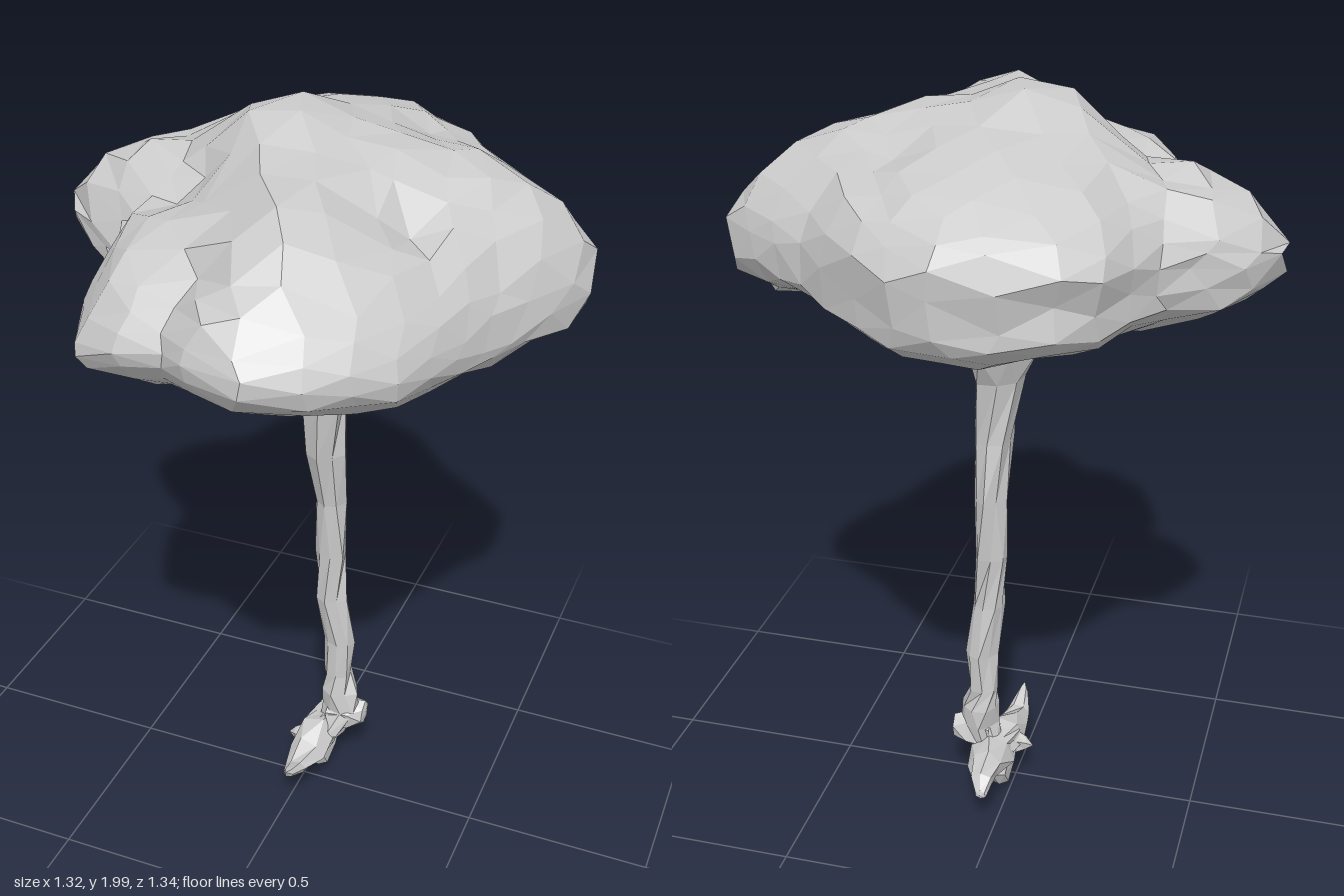
import * as THREE from 'three';

const material = new THREE.MeshStandardMaterial({ color: 0xcccccc, flatShading: true, side: THREE.DoubleSide });

// Widest outline of the crown: [x, rim height, z]
const outline = [
  [-0.04, 1.67, -0.69], [0.1, 1.67, -0.66], [0.26, 1.64, -0.56], [0.39, 1.62, -0.42], [0.5, 1.6, -0.35],
  [0.59, 1.59, -0.29], [0.67, 1.58, -0.22], [0.66, 1.58, -0.1], [0.57, 1.58, 0.06], [0.51, 1.58, 0.2],
  [0.46, 1.6, 0.34], [0.4, 1.61, 0.49], [0.28, 1.63, 0.6], [0.15, 1.65, 0.68], [0.03, 1.65, 0.67],
  [-0.1, 1.62, 0.57], [-0.27, 1.58, 0.58], [-0.35, 1.57, 0.51], [-0.39, 1.57, 0.4], [-0.44, 1.58, 0.27],
  [-0.41, 1.6, 0.15], [-0.5, 1.62, 0.08], [-0.59, 1.64, 0.04], [-0.67, 1.65, -0.08], [-0.64, 1.65, -0.16],
  [-0.56, 1.66, -0.26], [-0.46, 1.66, -0.3], [-0.39, 1.66, -0.38], [-0.36, 1.67, -0.49], [-0.29, 1.67, -0.59],
  [-0.18, 1.67, -0.62],
];

// Hollows and bumps on top of the crown: [x, z, radius, height]
const topRelief = [
  [-0.08, -0.05, 0.13, 0.07], [-0.38, -0.12, 0.09, -0.04], [-0.3, -0.02, 0.09, -0.06], [-0.24, 0.1, 0.08, -0.06],
  [-0.18, 0.21, 0.08, -0.06], [-0.12, 0.32, 0.08, -0.06], [-0.07, 0.46, 0.07, -0.05], [0.3, 0.2, 0.07, -0.07],
  [0.33, 0.1, 0.06, -0.04], [0.2, -0.28, 0.08, -0.03], [-0.12, 0.06, 0.06, -0.03], [0.1, 0.38, 0.16, 0.035],
];

// Hollows of the underside, behind the trunk and below the left tip
const underRelief = [[0.05, -0.2, 0.12, 0.03], [0.35, -0.24, 0.14, 0.07]];

// Creases around the crown wall: [direction x, direction z, height, half width, depth, sharpness]
const creases = [
  [-0.2, -0.98, 1.64, 0.04, 0.07, 4],
  [0.76, -0.65, 1.51, 0.05, 0.1, 10],
];

const sumRelief = (list, x, z) =>
  list.reduce((sum, [rx, rz, r, h]) => sum + h * Math.exp(-((x - rx) ** 2 + (z - rz) ** 2) / (r * r)), 0);

// Point on the outline in a given horizontal direction
function rimPoint(dx, dz) {
  const side = (p) => p[0] * dz - p[2] * dx;
  for (let i = 0; i < outline.length; i++) {
    const a = outline[i], b = outline[(i + 1) % outline.length];
    const ca = side(a), cb = side(b);
    if (ca * cb > 0 || ca === cb || a[0] * dx + a[2] * dz < 0) continue;
    const s = ca / (ca - cb);
    return a.map((v, k) => v + (b[k] - v) * s);
  }
  return outline[0];
}

// Faceted ball, moulded to the outline, relief and creases
function crownGeometry() {
  const geo = new THREE.IcosahedronGeometry(1, 5);
  const pos = geo.attributes.position;
  const d = new THREE.Vector3();
  for (let i = 0; i < pos.count; i++) {
    d.fromBufferAttribute(pos, i).normalize();
    // irregular facets
    d.x += 0.035 * Math.sin(d.y * 31 + d.z * 23);
    d.y += 0.035 * Math.sin(d.z * 29 + d.x * 19);
    d.normalize();
    const t = Math.hypot(d.x, d.z);
    const ux = d.x / Math.max(t, 0.01), uz = d.z / Math.max(t, 0.01);
    const rim = t > 1e-4 ? rimPoint(d.x, d.z) : outline[0];
    const x = rim[0] * t, z = rim[2] * t;
    let y = rim[1];
    if (d.y > 0) {
      // pointed at the front and right, upright at the back
      y += (1.94 - rim[1]) * d.y ** (1.15 - 0.2 * ux + 0.3 * uz);
      y += Math.min(1, d.y * 1.6) * sumRelief(topRelief, x, z);
    } else {
      y += (1.425 - rim[1]) * (-d.y) ** (0.8 - 0.1 * ux + 0.15 * uz);
      y += Math.min(1, -d.y * 2) * sumRelief(underRelief, x, z);
    }
    y += 0.012 * Math.sin(x * 24 + z * 17) * Math.sin(z * 27 - x * 9);
    let pinch = 1;
    for (const [cx, cz, h, w, depth, sharp] of creases) {
      pinch -= depth * Math.max(0, ux * cx + uz * cz) ** sharp * Math.exp(-(((y - h) / w) ** 2));
    }
    pos.setXYZ(i, x * pinch, y, z * pinch);
  }
  geo.computeVertexNormals();
  return geo;
}

// Limb through rings [x, y, z, radiusU, radiusV]; u cross v points along the limb
function limbGeometry(rings, u, v, sides) {
  const points = [], index = [];
  rings.forEach(([x, y, z, ru, rv], i) => {
    for (let j = 0; j < sides; j++) {
      const a = (j / sides) * Math.PI * 2 + 0.25 * Math.sin(i * 2.3);
      const k = 1 + 0.12 * Math.sin(i * 4.1 + j * 2.7);
      const c = Math.cos(a) * ru * k, s = Math.sin(a) * rv * k;
      points.push(x + u[0] * c + v[0] * s, y + u[1] * c + v[1] * s, z + u[2] * c + v[2] * s);
    }
  });
  for (let i = 0; i < rings.length - 1; i++) {
    for (let j = 0; j < sides; j++) {
      const a = i * sides + j, b = i * sides + ((j + 1) % sides);
      index.push(a, b, b + sides, a, b + sides, a + sides);
    }
  }
  const geo = new THREE.BufferGeometry();
  geo.setAttribute('position', new THREE.Float32BufferAttribute(points, 3));
  geo.setIndex(index);
  geo.computeVertexNormals();
  return geo;
}

export function createModel() {
  const group = new THREE.Group();
  const X = [1, 0, 0], Y = [0, 1, 0], Z = [0, 0, 1];
  const add = (name, geo) => {
    const mesh = new THREE.Mesh(geo, material);
    mesh.name = name;
    group.add(mesh);
  };

  add('crown', crownGeometry());

  // Trunk, slim and slightly crooked, flaring into the crown
  add('trunk', limbGeometry([
    [0.06, 0.15, -0.06, 0.06, 0.04], [0.085, 0.22, -0.075, 0.045, 0.05], [0.08, 0.28, -0.08, 0.045, 0.05],
    [0.07, 0.34, -0.08, 0.038, 0.04], [0.075, 0.45, -0.08, 0.038, 0.042], [0.055, 0.6, -0.07, 0.034, 0.042],
    [0.05, 0.75, -0.07, 0.04, 0.044], [0.05, 0.92, -0.068, 0.048, 0.042], [0.045, 1.08, -0.045, 0.055, 0.05],
    [0.035, 1.25, -0.035, 0.078, 0.065], [0.03, 1.34, -0.035, 0.11, 0.1], [0.02, 1.4, -0.04, 0.16, 0.16],
    [0.02, 1.45, -0.04, 0.2, 0.2],
  ], Z, X, 8));

  // Short stubs hanging beside the flare
  for (const [x, z, low] of [[0.18, -0.12, 1.37], [-0.15, 0.04, 1.35], [0.05, -0.2, 1.37]]) {
    add('boughStub', limbGeometry([
      [x, low, z, 0.02, 0.03], [x * 1.05, low + 0.03, z * 1.05, 0.04, 0.045], [x * 1.1, 1.47, z * 1.1, 0.06, 0.06],
    ], Z, X, 5));
  }

  // Roots: two long side roots, a tap root and two stubs
  add('frontRoot', limbGeometry([
    [0.04, 0.14, -0.09, 0.05, 0.05], [0.03, 0.14, -0.02, 0.06, 0.058], [0.025, 0.13, 0.05, 0.05, 0.04],
    [0.025, 0.13, 0.12, 0.03, 0.018], [0.025, 0.155, 0.18, 0.015, 0.014], [0.025, 0.175, 0.2, 0, 0],
  ], X, Y, 6));
  add('backRoot', limbGeometry([
    [0.03, 0.14, -0.02, 0.05, 0.05], [0.04, 0.14, -0.1, 0.06, 0.06], [0.045, 0.145, -0.17, 0.045, 0.045],
    [0.035, 0.135, -0.23, 0.028, 0.03], [0.03, 0.12, -0.265, 0.014, 0.015], [0.03, 0.12, -0.27, 0, 0],
  ], Y, X, 6));
  add('tapRoot', limbGeometry([
    [0.03, 0, -0.06, 0, 0], [0.03, 0.02, -0.055, 0.035, 0.025], [0.03, 0.07, -0.055, 0.07, 0.035],
    [0.035, 0.13, -0.055, 0.1, 0.05],
  ], Z, X, 6));
  add('sideStub', limbGeometry([
    [0.03, 0.14, -0.04, 0.05, 0.05], [-0.035, 0.125, -0.02, 0.015, 0.02], [-0.055, 0.12, -0.02, 0, 0],
  ], Z, Y, 5));
  add('rootKnob', limbGeometry([
    [0.05, 0.18, -0.07, 0.06, 0.04], [0.11, 0.2, -0.08, 0.055, 0.045], [0.15, 0.205, -0.085, 0.035, 0.03],
    [0.155, 0.21, -0.085, 0, 0],
  ], Y, Z, 6));

  return group;
}
